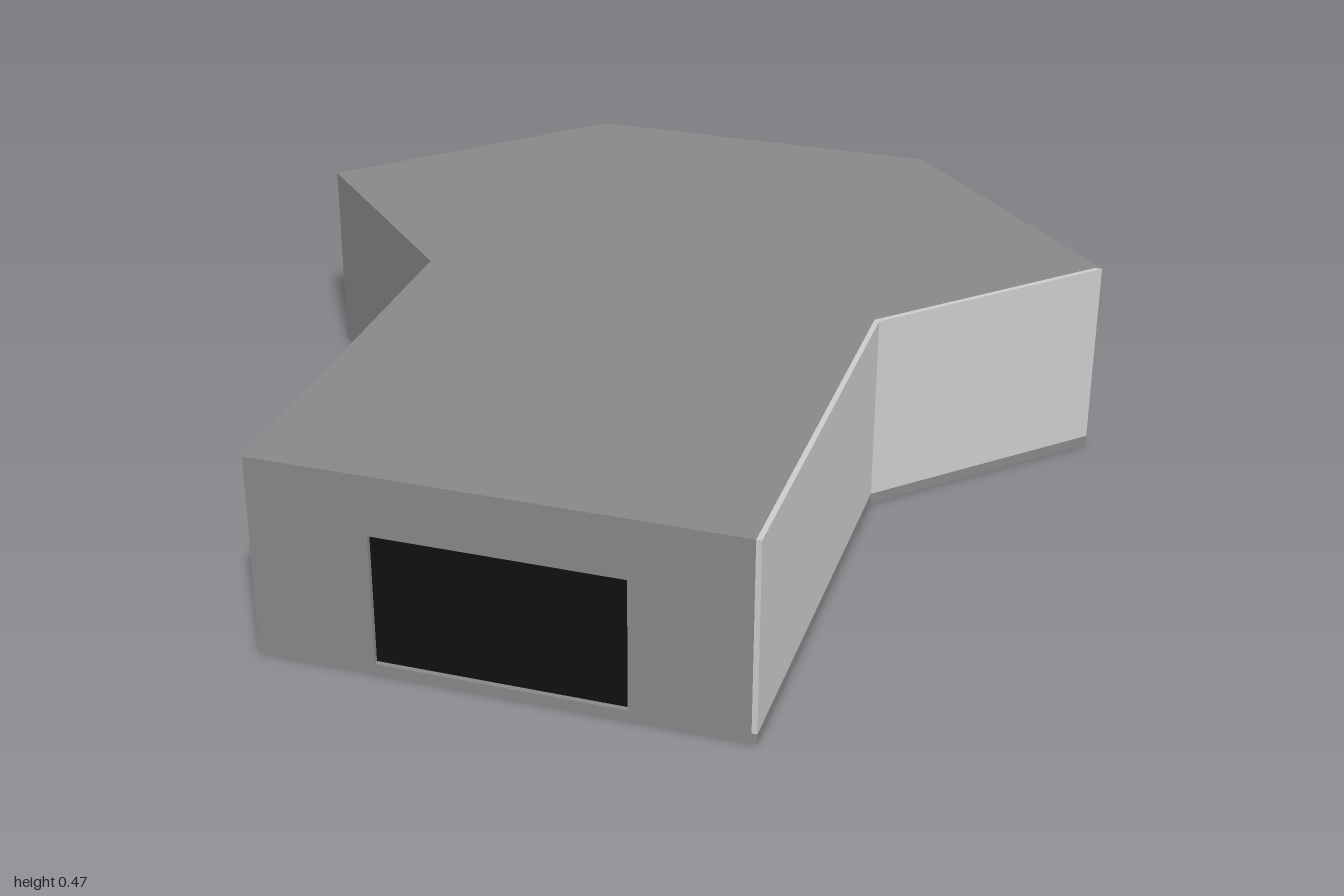
import * as THREE from 'three';

const H = 0.475;     // total height
const FLOOR = 0.025; // floor slab thickness
const CEIL = 0.45;   // underside of the roof edge

const dark = new THREE.MeshStandardMaterial({ color: 0x888888 });
const light = new THREE.MeshStandardMaterial({ color: 0xcccccc });
const black = new THREE.MeshStandardMaterial({ color: 0x101010 });

// Vertical prism over a plan polygon of [x, z] points
function prism(name, plan, y0, y1, material) {
  const shape = new THREE.Shape(plan.map(([x, z]) => new THREE.Vector2(x, -z)));
  const geo = new THREE.ExtrudeGeometry(shape, { depth: y1 - y0, bevelEnabled: false });
  geo.rotateX(-Math.PI / 2).translate(0, y0, 0);
  const mesh = new THREE.Mesh(geo, material);
  mesh.name = name;
  return mesh;
}

const mix = (a, b, t) => [a[0] + (b[0] - a[0]) * t, a[1] + (b[1] - a[1]) * t];

export function createModel() {
  const group = new THREE.Group();
  group.name = 'room';

  // Left side from back to front: outer face and the face behind the wall panels
  const outer = [[0.437, -1], [0.987, -0.45], [0.547, -0.01], [0.547, 1]];
  const inner = [[0.42, -1], [0.97, -0.45], [0.535, -0.015], [0.535, 1]];
  const rightSide = [...outer].reverse().map(([x, z]) => [-x, z]);

  // Floor slab and main body, the body stopping behind the front wall
  group.add(prism('floor', [...outer, ...rightSide], 0, FLOOR, dark));
  const setBack = ([x, z]) => [x, Math.min(z, 0.985)];
  group.add(prism('body', [...inner, ...rightSide].map(setBack), FLOOR, H, dark));

  // Pale wall panel along part of one left-hand segment
  const panel = (name, i, t0, t1, y0, y1, material) => group.add(prism(name, [
    mix(outer[i], outer[i + 1], t0), mix(outer[i], outer[i + 1], t1),
    mix(inner[i], inner[i + 1], t1), mix(inner[i], inner[i + 1], t0),
  ], y0, y1, material));
  panel('leftSideWall', 2, 0, 1, FLOOR, H, light);
  panel('leftFrontDiagonalWall', 1, 0, 1, FLOOR, H, light);
  panel('leftBackDiagonalWallRear', 0, 0, 0.605, FLOOR, CEIL, light);
  panel('leftBackDiagonalWallFront', 0, 0.63, 1, FLOOR, CEIL, light);
  panel('roofEdge', 0, 0, 1, CEIL, H, dark);

  // Front wall with the doorway cut out
  const wall = new THREE.Shape([
    [-0.547, FLOOR], [-0.28, FLOOR], [-0.28, 0.335], [0.275, 0.335],
    [0.275, FLOOR], [0.535, FLOOR], [0.535, H], [-0.547, H],
  ].map(([x, y]) => new THREE.Vector2(x, y)));
  const front = new THREE.Mesh(
    new THREE.ExtrudeGeometry(wall, { depth: 0.015, bevelEnabled: false }), dark);
  front.name = 'frontWall';
  front.position.z = 0.985;
  group.add(front);

  // Dark doorway, slightly recessed
  const door = new THREE.Mesh(new THREE.BoxGeometry(0.555, 0.31, 0.01), black);
  door.name = 'doorway';
  door.position.set(-0.0025, 0.18, 0.983);
  group.add(door);

  return group;
}
